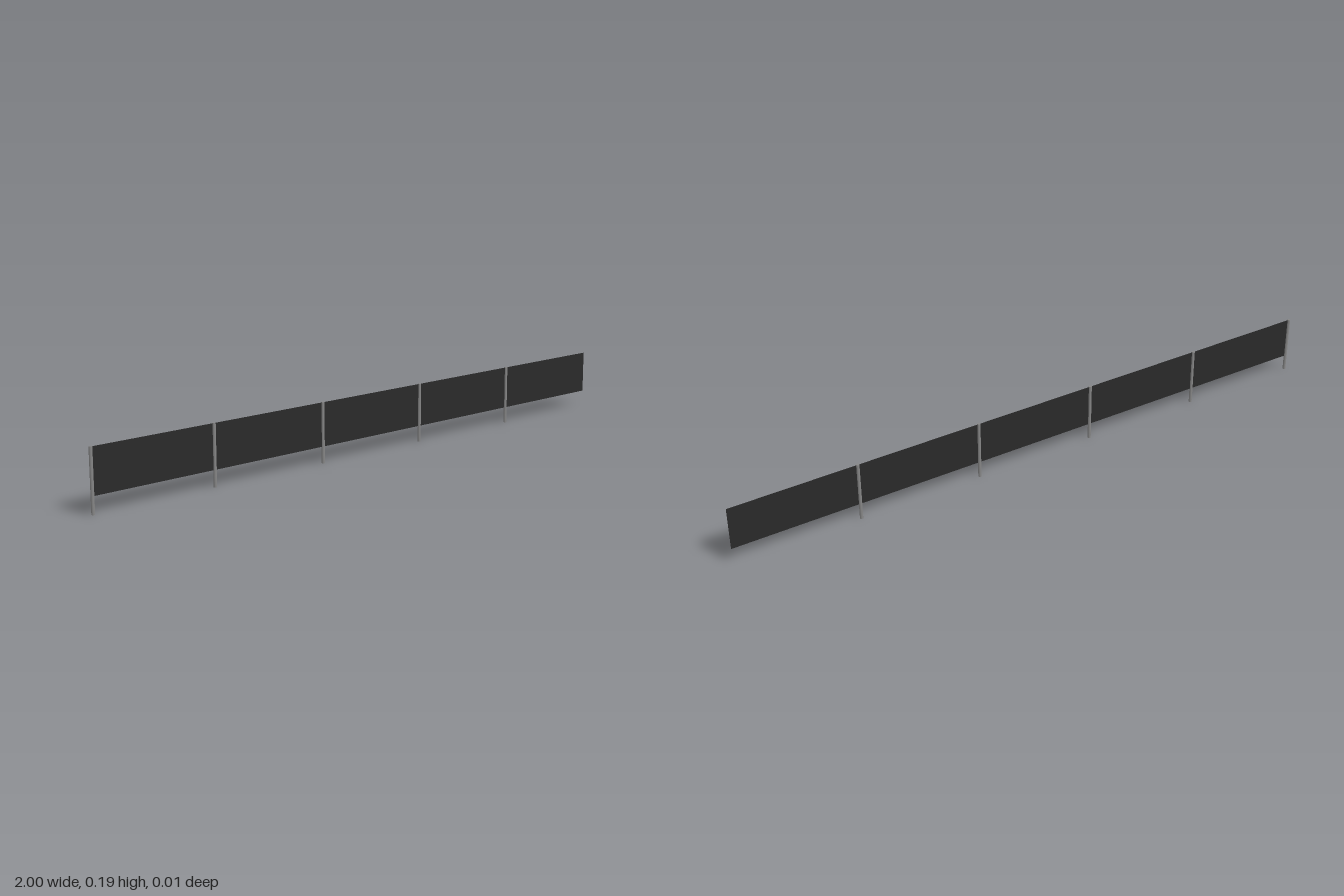
import * as THREE from 'three';

export function createModel() {
  const model = new THREE.Group();
  model.name = 'fence';

  const postGrey = new THREE.MeshStandardMaterial({ color: 0x868686 });
  postGrey.name = 'post grey';
  const panelBlack = new THREE.MeshStandardMaterial({ color: 0x2a2a2a, side: THREE.DoubleSide });
  panelBlack.name = 'panel black';

  const count = 5;
  const radius = 0.005;
  const height = 0.185;
  const start = -1 + radius;
  const bay = (1 - start) / count;
  const panelBottom = 0.05;
  const panelTop = 0.184;

  const postGeometry = new THREE.CylinderGeometry(radius, radius, height, 12);
  const panelGeometry = new THREE.PlaneGeometry(bay, panelTop - panelBottom);

  // Each bay is a post with a thin sheet running on to the next one
  for (let i = 0; i < count; i++) {
    const x = start + i * bay;

    const post = new THREE.Mesh(postGeometry, postGrey);
    post.name = `post${i + 1}`;
    post.position.set(x, height / 2, 0);

    const panel = new THREE.Mesh(panelGeometry, panelBlack);
    panel.name = `panel${i + 1}`;
    panel.position.set(x + bay / 2, (panelTop + panelBottom) / 2, 0);

    model.add(post, panel);
  }
  return model;
}
